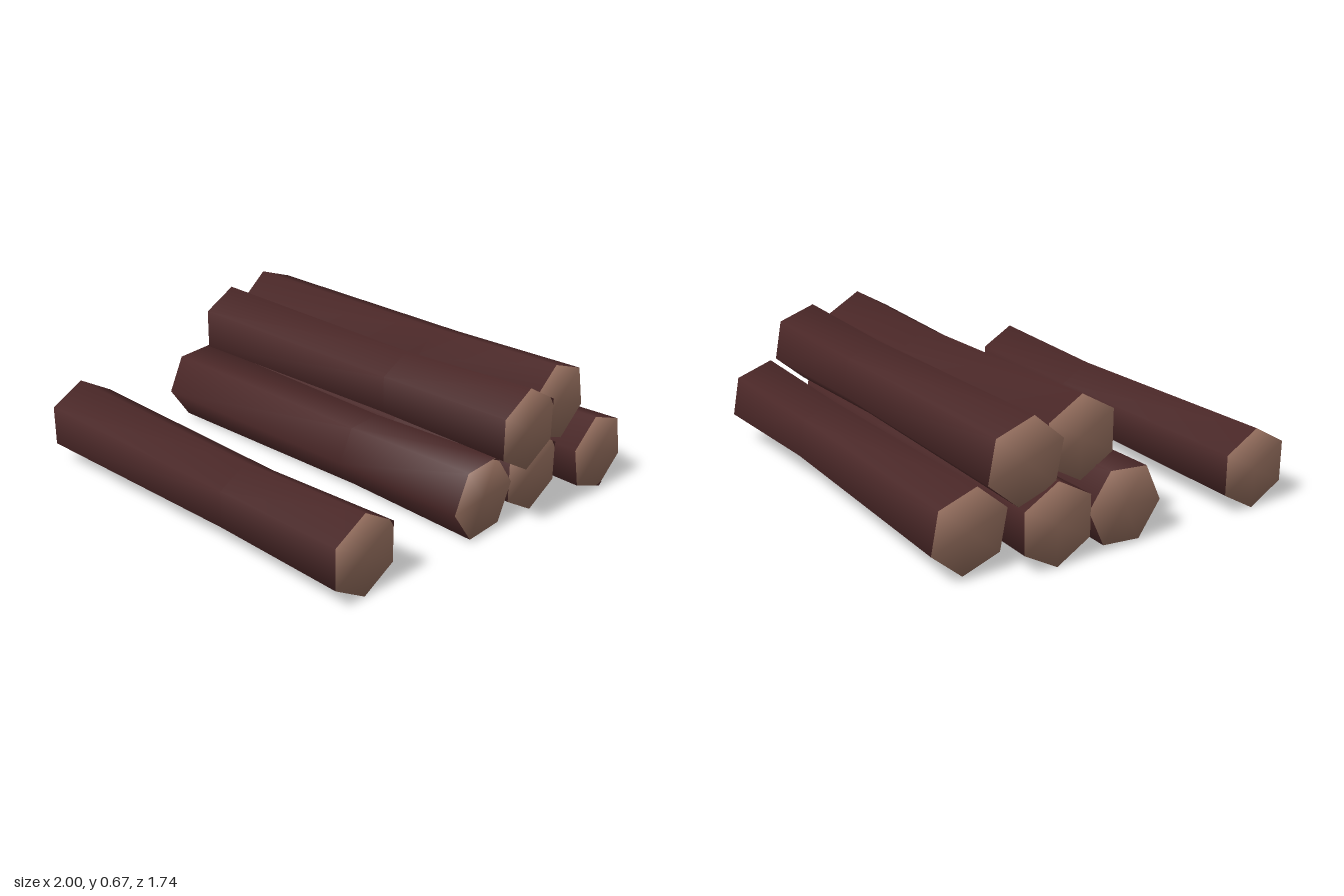
import * as THREE from 'three';

const SIDES = 6, RADIUS = 0.186, LENGTH = 1.895;

const bark = new THREE.MeshStandardMaterial({ color: 0x4a2727 });
bark.name = 'darkBark';
const wood = new THREE.MeshStandardMaterial({ color: 0x8f6a5a });
wood.name = 'cutWood';

// Point on the log's cross-section; angle 0 is up, increasing towards -z
const rim = (x, k, r, dy) => {
  const a = (k * Math.PI * 2) / SIDES;
  return [x, Math.cos(a) * r + dy, -Math.sin(a) * r];
};

// Six-sided log with a slight waist; sides and cut ends share smooth normals
function logGeometry() {
  const sections = [[0, RADIUS, 0], [1.2, RADIUS * 0.905, -0.007], [LENGTH, RADIUS, 0]];
  const pos = [], index = [];
  for (const [x, r, dy] of sections)
    for (let k = 0; k < SIDES; k++) pos.push(...rim(x, k, r, dy));
  const start = pos.length / 3, end = start + 1;
  pos.push(0, 0, 0, LENGTH, 0, 0);

  for (let i = 0; i < sections.length - 1; i++)
    for (let k = 0; k < SIDES; k++) {
      const n = (k + 1) % SIDES;
      const a = i * SIDES + k, d = i * SIDES + n;
      index.push(a, a + SIDES, d + SIDES, a, d + SIDES, d);
    }
  const barkCount = index.length;
  const last = (sections.length - 1) * SIDES;
  for (let k = 0; k < SIDES; k++) {
    const n = (k + 1) % SIDES;
    index.push(start, k, n, end, last + n, last + k);
  }

  const geo = new THREE.BufferGeometry();
  geo.setAttribute('position', new THREE.Float32BufferAttribute(pos, 3));
  geo.setIndex(index);
  geo.addGroup(0, barkCount, 0);
  geo.addGroup(barkCount, index.length - barkCount, 1);
  geo.computeVertexNormals();
  return geo;
}

// Small dark corner on the cut end
function chipGeometry() {
  const x = LENGTH + 0.002;
  const corner = new THREE.Vector3(...rim(x, 1, RADIUS, 0));
  const toward = (k) => corner.clone().lerp(new THREE.Vector3(...rim(x, k, RADIUS, 0)), 0.15);
  const geo = new THREE.BufferGeometry().setFromPoints([toward(2), corner, toward(0)]);
  geo.computeVertexNormals();
  return geo;
}

export function createModel() {
  const model = new THREE.Group();
  model.name = 'logPile';
  const logGeo = logGeometry(), chipGeo = chipGeometry();

  // name, left end x, centre y, centre z, roll in degrees
  const logs = [
    ['looseLog', -1, 0.19, 0.71, 0],
    ['bottomFrontLog', -0.99, 0.185, 0, -35],
    ['bottomMiddleLog', -1, 0.19, -0.345, 0],
    ['bottomBackLog', -0.895, 0.207, -0.69, 109],
    ['topFrontLog', -0.895, 0.485, -0.159, 0],
    ['topBackLog', -0.985, 0.485, -0.489, -131],
  ];
  for (const [name, x, y, z, roll] of logs) {
    const log = new THREE.Group();
    log.name = name;
    const body = new THREE.Mesh(logGeo, [bark, wood]);
    body.name = 'logBody';
    const chip = new THREE.Mesh(chipGeo, bark);
    chip.name = 'barkChip';
    log.add(body, chip);
    log.position.set(x, y, z);
    log.rotation.x = -THREE.MathUtils.degToRad(roll);
    model.add(log);
  }
  return model;
}
